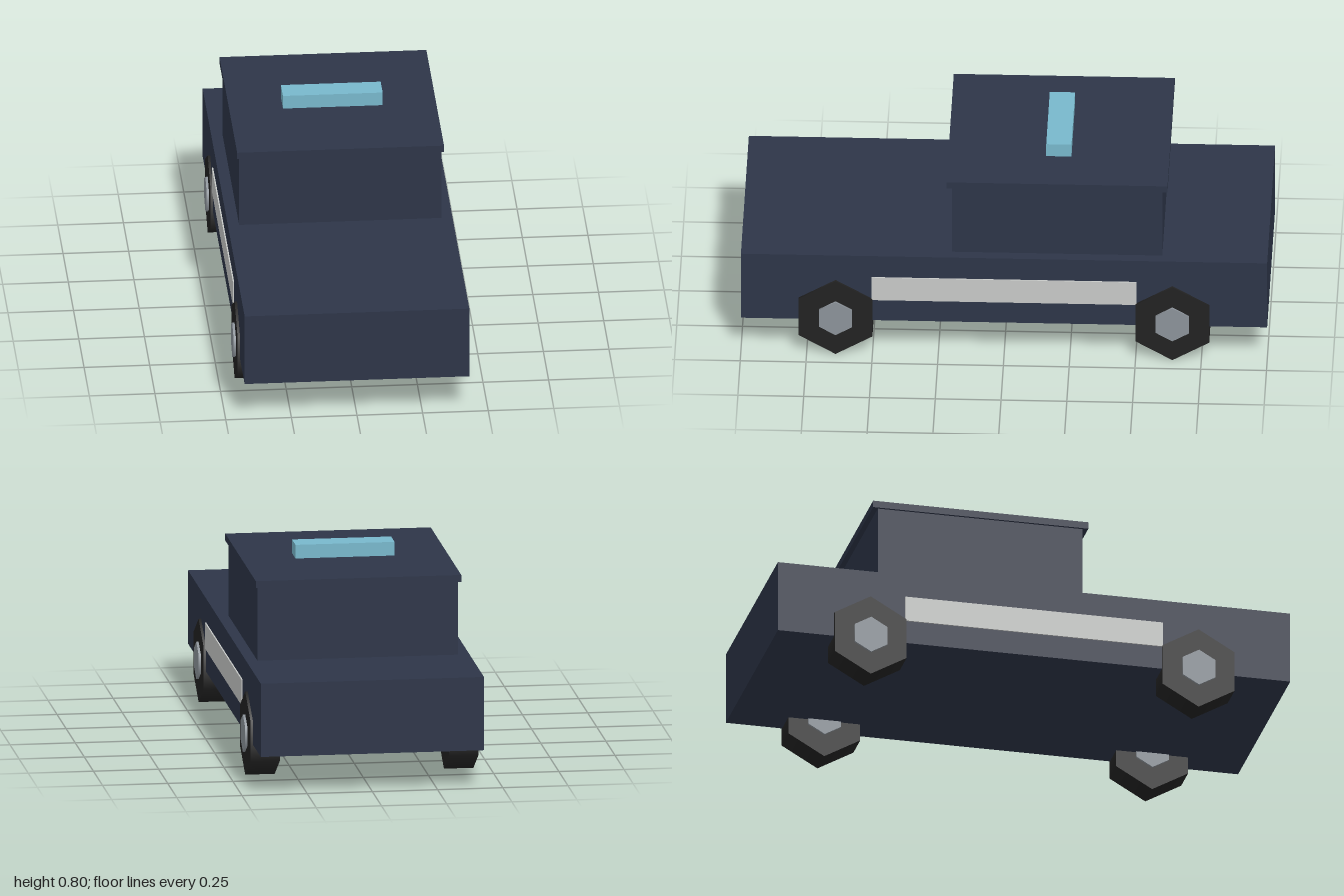
import * as THREE from 'three';

const paint = new THREE.MeshStandardMaterial({ name: 'navyPaint', color: 0x2d3548 });
const glass = new THREE.MeshStandardMaterial({ name: 'lightBlue', color: 0x78b8cc });
const trim = new THREE.MeshStandardMaterial({ name: 'paleGrey', color: 0xc8cac8 });
const rubber = new THREE.MeshStandardMaterial({ name: 'blackRubber', color: 0x222222 });
const metal = new THREE.MeshStandardMaterial({ name: 'greyMetal', color: 0x8c939a });

// Box given by its extents along each axis
function box(name, material, [x0, x1], [y0, y1], [z0, z1]) {
  const mesh = new THREE.Mesh(new THREE.BoxGeometry(x1 - x0, y1 - y0, z1 - z0), material);
  mesh.position.set((x0 + x1) / 2, (y0 + y1) / 2, (z0 + z1) / 2);
  mesh.name = name;
  return mesh;
}

// Six-sided disc lying along x, one corner pointing up
function hexDisc(name, material, radius, width) {
  const geometry = new THREE.CylinderGeometry(radius, radius, width, 6, 1, false, Math.PI / 2);
  geometry.rotateZ(Math.PI / 2);
  const mesh = new THREE.Mesh(geometry, material);
  mesh.name = name;
  return mesh;
}

export function createModel() {
  const car = new THREE.Group();
  car.name = 'car';

  // Body, cabin, roof and roof light
  car.add(
    box('body', paint, [-0.428, 0.428], [0.148, 0.433], [-1, 1]),
    box('cabin', paint, [-0.385, 0.385], [0.433, 0.72], [-0.6, 0.2]),
    box('roof', paint, [-0.394, 0.394], [0.72, 0.747], [-0.62, 0.22]),
    box('roofLight', glass, [-0.19, 0.19], [0.747, 0.8], [-0.248, -0.152]),
  );

  for (const [side, s] of [['left', 1], ['right', -1]]) {
    // Side stripe
    const stripe = box(`${side}Stripe`, trim, [-0.004, 0.004], [0.24, 0.34], [-0.503, 0.503]);
    stripe.position.x = s * 0.429;
    car.add(stripe);

    // Wheels with hubs showing on both faces
    for (const [end, z] of [['Front', 0.64], ['Rear', -0.64]]) {
      const wheel = new THREE.Group();
      wheel.name = `${side}${end}Wheel`;
      wheel.add(hexDisc('tyre', rubber, 0.162, 0.113), hexDisc('hub', metal, 0.073, 0.131));
      wheel.position.set(s * 0.381, 0.162, z);
      car.add(wheel);
    }
  }
  return car;
}
